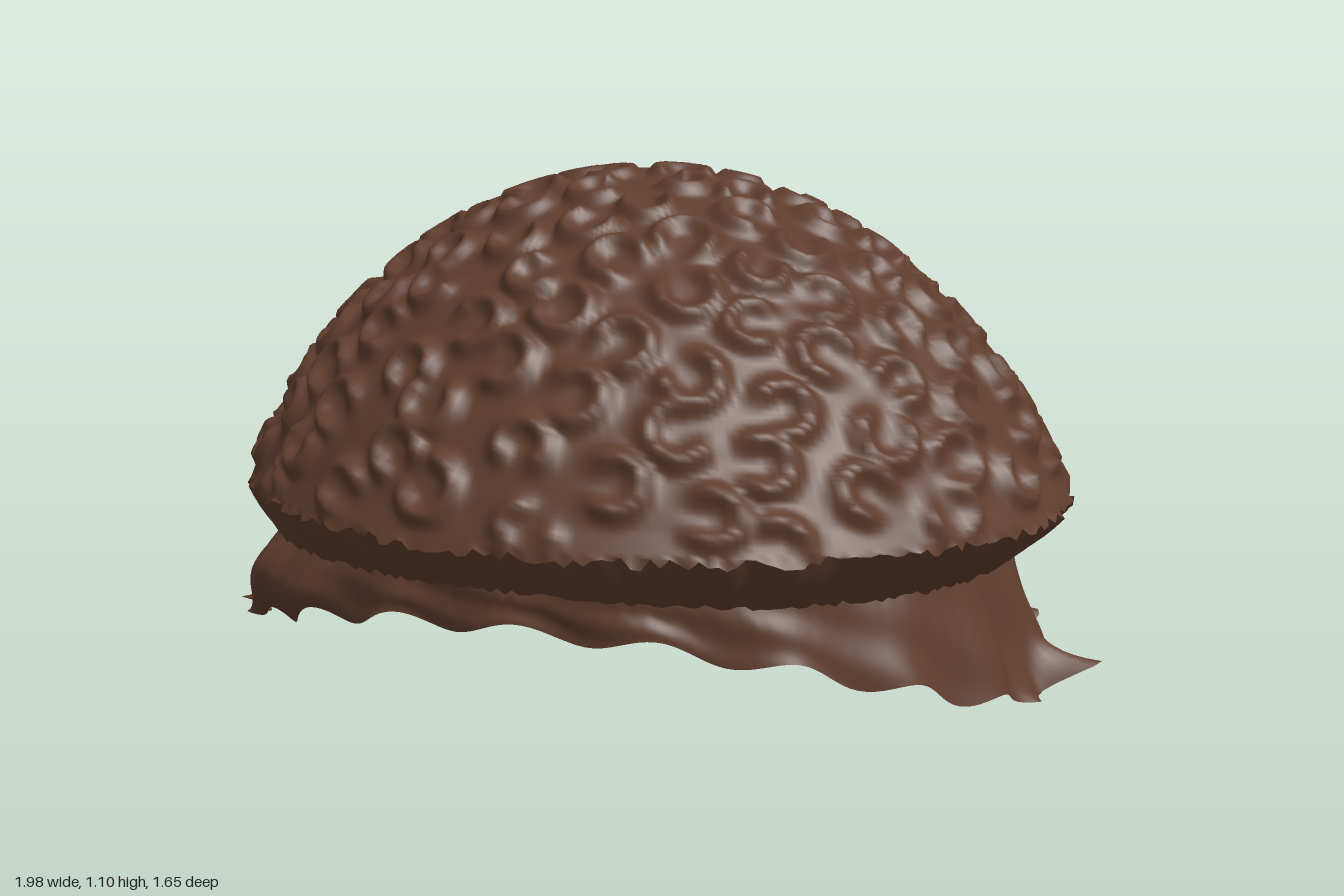
import * as THREE from 'three';

const COLS = 320;
const clamp = (v) => Math.min(1, Math.max(0, v));
const hash = (i) => { const s = Math.sin(i * 127.1 + 11.7) * 43758.5453; return s - Math.floor(s); };

// Closed ring surface: f(angle, v, column) gives a point, v runs downwards
function ringSurface(rows, f) {
  const pos = [], idx = [];
  for (let r = 0; r <= rows; r++) {
    for (let c = 0; c < COLS; c++) {
      const p = f((c / COLS) * Math.PI * 2, r / rows, c);
      pos.push(p.x, p.y, p.z);
      if (r === rows) continue;
      const n = (c + 1) % COLS;
      const a = r * COLS + c, b = r * COLS + n, d = a + COLS, e = b + COLS;
      idx.push(a, b, d, b, e, d);
    }
  }
  const g = new THREE.BufferGeometry();
  g.setAttribute('position', new THREE.Float32BufferAttribute(pos, 3));
  g.setIndex(idx);
  g.computeVertexNormals();
  return g;
}

// Height of the widest edge: nearly level in front, sinking at the nape
const rimY = (a) => {
  const s = Math.sin(a);
  return s > 0 ? 0.42 + 0.02 * s : 0.42 - 0.22 * Math.pow(-s, 1.3);
};

// Smooth dome under the curls: a spherical cap stretched to the rim
const CAP = 1.1, CAP_ANGLE = Math.asin(1 / CAP), CAP_BASE = CAP * Math.cos(CAP_ANGLE);
function domePoint(a, v) {
  const t = CAP * Math.sin(v * CAP_ANGLE);
  const h = (CAP * Math.cos(v * CAP_ANGLE) - CAP_BASE) / (CAP - CAP_BASE);
  const y0 = rimY(a);
  return new THREE.Vector3(0.905 * t * Math.cos(a) - 0.01, y0 + (1.085 - y0) * h, 0.81 * t * Math.sin(a));
}

function domeNormal(a, v) {
  const w = Math.min(0.985, Math.max(0.03, v)), e = 0.01;
  const da = domePoint(a + e, w).sub(domePoint(a - e, w));
  const dv = domePoint(a, w + e).sub(domePoint(a, w - e));
  return da.cross(dv).normalize();
}

// C-shaped curls spread evenly over the dome
function makeCurls(count) {
  const curls = [];
  for (let i = 0; i < count; i++) {
    const v = Math.acos(1 - (1 - Math.cos(CAP_ANGLE)) * 0.98 * (i + 0.5) / count) / CAP_ANGLE;
    const a = (i * 2.39996 + (hash(i) - 0.5) * 0.12) % (Math.PI * 2);
    const n = domeNormal(a, v);
    const side = new THREE.Vector3(-Math.sin(a), 0, Math.cos(a));
    side.addScaledVector(n, -side.dot(n)).normalize();
    curls.push({
      p: domePoint(a, v), side, up: n.clone().cross(side),
      r: 0.044 + 0.012 * hash(i + 300), gap: hash(i + 700) * Math.PI * 2,
    });
  }
  return curls;
}

function curlHeight(p, curls) {
  let h = 0;
  for (const c of curls) {
    const d = p.distanceTo(c.p);
    if (d > 0.12) continue;
    const q = p.clone().sub(c.p);
    const ang = Math.atan2(q.dot(c.up), q.dot(c.side));
    const open = clamp((1 - Math.cos(ang - c.gap)) * 2);
    h = Math.max(h, 0.027 * open * Math.exp(-Math.pow((d - c.r) / 0.02, 2)));
  }
  return h;
}

// Fuller lock of hair on the right temple
const lock = (a) => Math.exp(-Math.pow((a - 2.6) / 0.38, 2));

// Ragged edge shared by dome and rim
function rimPoint(a, c) {
  const k = 1 + 0.02 * hash(c);
  const p = domePoint(a, 1);
  return p.set(p.x * k, p.y + 0.025 * (hash(c + 50) - 0.5), p.z * k);
}

function underPoint(a, c) {
  const y = rimY(a) - 0.1 - 0.025 * Math.abs(Math.cos(a)) + 0.012 * hash(c + 90);
  const k = 1 + 0.06 * lock(a);
  return new THREE.Vector3(0.795 * Math.cos(a) * k - 0.01, y, 0.735 * Math.sin(a) * k);
}

// Scalloped lower edge, lifted above the face
function hemPoint(a) {
  const w = Math.cos(20 * a), flare = 1 + 0.015 * Math.sin(20 * a + 1);
  const z = 0.735 * Math.sin(a);
  const y = 0.032 + 0.235 * Math.pow(clamp((z - 0.1) / 0.63), 1.3) + 0.018 * w;
  return new THREE.Vector3(0.885 * Math.cos(a) * flare - 0.02, y, z * flare);
}

// Places where the hem flicks out: angle, width, reach
const FLICKS = [
  [0, 0.05, 0.13], [0.16, 0.05, 0.05], [Math.PI - 0.2, 0.09, 0.12],
  [Math.PI + 0.1, 0.06, 0.06], [Math.PI - 0.46, 0.06, 0.08], [Math.PI * 2 - 0.56, 0.05, 0.07],
];

function flick(a) {
  let reach = 0;
  for (const [at, width, size] of FLICKS) {
    const d = Math.atan2(Math.sin(a - at), Math.cos(a - at)) / width;
    reach = Math.max(reach, size * Math.exp(-d * d));
  }
  return reach;
}

export function createModel() {
  const model = new THREE.Group();
  const brown = new THREE.MeshStandardMaterial({ color: 0x5f3d2d, side: THREE.DoubleSide });
  brown.name = 'hairBrown';
  const add = (name, geometry) => {
    const m = new THREE.Mesh(geometry, brown);
    m.name = name;
    model.add(m);
  };

  // Curly dome, embossed along its normals
  const curls = makeCurls(150);
  add('curlyDome', ringSurface(125, (a, v, c) => {
    if (v === 1) return rimPoint(a, c);
    const p = domePoint(a, v);
    const h = curlHeight(p, curls) * clamp((1 - v) * 25) + 0.008 * clamp((v - 0.95) * 20);
    return p.addScaledVector(domeNormal(a, v), h);
  }));

  // Combed rim tucked in under the dome
  add('combedRim', ringSurface(5, (a, v, c) => {
    const p = rimPoint(a, c).lerp(underPoint(a, c), v);
    const k = 1 + 0.02 * Math.sin(v * Math.PI) * (hash(c + 500) - 0.3);
    return p.set(p.x * k, p.y, p.z * k);
  }));

  // Flared skirt with wavy hem, flicked tips and the fuller lock
  add('lowerSkirt', ringSurface(20, (a, v, c) => {
    const p = underPoint(a, c).lerp(hemPoint(a), v);
    const tip = flick(a) * Math.pow(v, 5);
    const k = 1 + Math.sin(v * Math.PI) * (0.07 * lock(a) + 0.006 * Math.sin(a * 13 + v * 5)) + tip;
    return p.set(p.x * k, p.y + tip * 0.35, p.z * k);
  }));
  return model;
}
